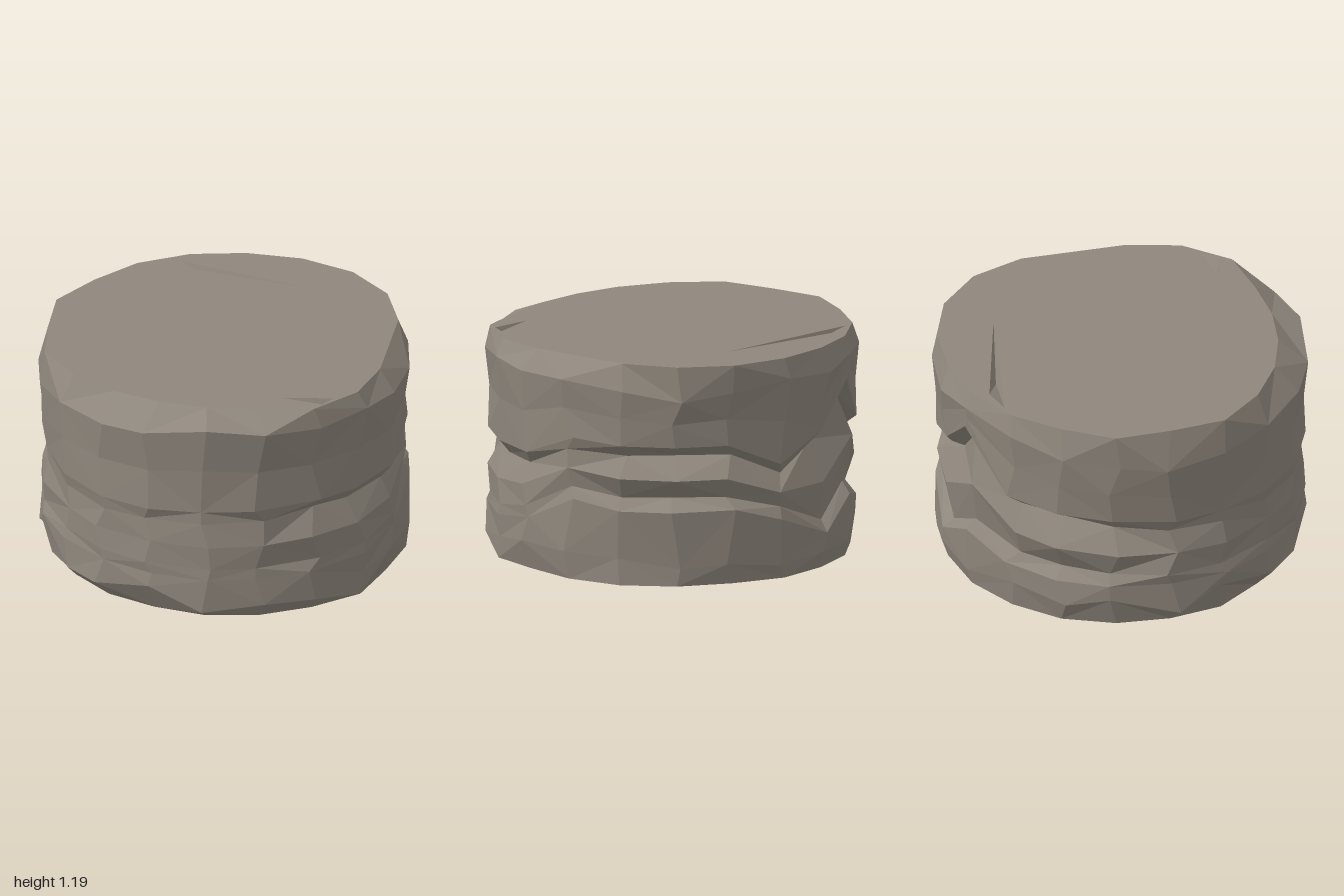
import * as THREE from 'three';

const COLS = 20;
const TOP = 1.19;

// Per column, starting at the front and turning toward +x
const baseR = [.91, .92, .93, .97, .93, .96, .98, .97, .95, .97, .95, .95, .94, .94, .93, .92, .93, .9, .9, .89];
const rimR = [.83, .86, .96, .95, .9, .87, .93, .98, .99, .97, .95, .95, .95, .94, .98, .94, .97, .91, .86, .83];
const shoulderY = [1.13, 1.1, 1.08, 1.1, 1.08, 1.08, 1.05, 1.0, 1.04, 1.08, 1.06, 1.1, 1.08, 1.02, 1.0, .97, 1.0, 1.04, 1.05, 1.07];
const crackY = [.56, .57, .58, .56, .57, .7, .68, .68, .68, .55, .68, .9, .62, .6, .58, .56, .55, .55, .54, .55];
const crackDepth = [0, .01, .06, .06, .03, .01, .08, .11, .09, .06, .09, .06, .07, .09, .07, .03, .01, 0, 0, 0];
const lowY = [.3, .3, .3, .3, .35, .5, .46, .46, .46, .38, .25, .4, .33, .31, .31, .31, .3, .3, .3, .3];
const lowDepth = [0, 0, 0, 0, 0, .03, .07, .09, .07, .04, .04, .04, .06, .08, .05, 0, 0, 0, 0, 0];

// Small seeded number source for the rough surface
function seeded(seed) {
  return () => {
    seed = (seed * 16807) % 2147483647;
    return seed / 2147483647 * 2 - 1;
  };
}

function polar(r, angle, y) {
  return new THREE.Vector3(r * Math.sin(angle), y, r * Math.cos(angle));
}

function facesToGeometry(points) {
  const geo = new THREE.BufferGeometry().setFromPoints(points);
  geo.computeVertexNormals();
  return geo;
}

// One vertical profile of the side: foot, two cracks, shoulder and rim
function sideColumn(i, rand) {
  const angle = i / COLS * Math.PI * 2;
  const up = crackY[i], low = lowY[i];
  const profile = [
    [baseR[i], 0],
    [.975, .11 + rand() * .06],
    [.975, low - .06],
    [.97 - lowDepth[i], low],
    [.97, (low + up) / 2],
    [.955 - crackDepth[i], up],
    [.965, up + .07],
    [.97, (up + .07 + shoulderY[i]) / 2],
    [.99, shoulderY[i]],
    [rimR[i], TOP],
  ];
  return profile.map(([r, y], k) => {
    const edge = k === 0 || k === 9;
    const turn = edge ? 0 : rand() * .04;
    return polar(edge ? r : Math.min(r + rand() * .01, 1), angle + turn, y);
  });
}

function sideGeometry(columns) {
  const out = [];
  for (let i = 0; i < COLS; i++) {
    const left = columns[i], right = columns[(i + 1) % COLS];
    for (let k = 0; k < left.length - 1; k++) {
      const a = left[k], b = right[k], c = right[k + 1], d = left[k + 1];
      if ((i + (k >> 1)) % 2) out.push(a, b, c, a, c, d);
      else out.push(a, b, d, b, c, d);
    }
  }
  return facesToGeometry(out);
}

// Flat cap cut from the rim loop, with optional triangular slits
function capGeometry(loop, slits = []) {
  const flat = p => new THREE.Vector2(p.x, -p.z);
  const shape = new THREE.Shape(loop.map(flat));
  for (const slit of slits) shape.holes.push(new THREE.Path(slit.map(flat)));
  return new THREE.ShapeGeometry(shape).rotateX(-Math.PI / 2);
}

// Walls of a slit running down to one low point
function slitGeometry(corners, depth) {
  const low = corners[0].clone().add(corners[1]).add(corners[2]).divideScalar(3);
  low.y -= depth;
  const out = [];
  corners.forEach((p, i) => out.push(p, corners[(i + 1) % 3], low));
  return facesToGeometry(out);
}

export function createModel() {
  const group = new THREE.Group();
  group.name = 'rockStump';
  const stone = new THREE.MeshStandardMaterial({ color: 0x8f877d, flatShading: true, side: THREE.DoubleSide });
  stone.name = 'warm grey stone';

  function add(name, geometry) {
    const mesh = new THREE.Mesh(geometry, stone);
    mesh.name = name;
    group.add(mesh);
    return mesh;
  }

  const rand = seeded(41);
  const columns = Array.from({ length: COLS }, (_, i) => sideColumn(i, rand));
  add('crackedSide', sideGeometry(columns));

  // Top with its two slits
  const slits = [
    [[-.48, -.78], [.34, -.6], [-.33, -.82]],
    [[.38, .67], [.65, .645], [.6, .72]],
  ].map(s => s.map(([x, z]) => new THREE.Vector3(x, TOP, z)));
  add('topFace', capGeometry(columns.map(c => c[9]), slits)).position.y = TOP;
  slits.forEach(s => add('topSlit', slitGeometry(s, .06)));

  // Underside, turned to face down
  const base = capGeometry(columns.map(c => c[0]));
  base.index.array.reverse();
  base.computeVertexNormals();
  add('underside', base);

  return group;
}
